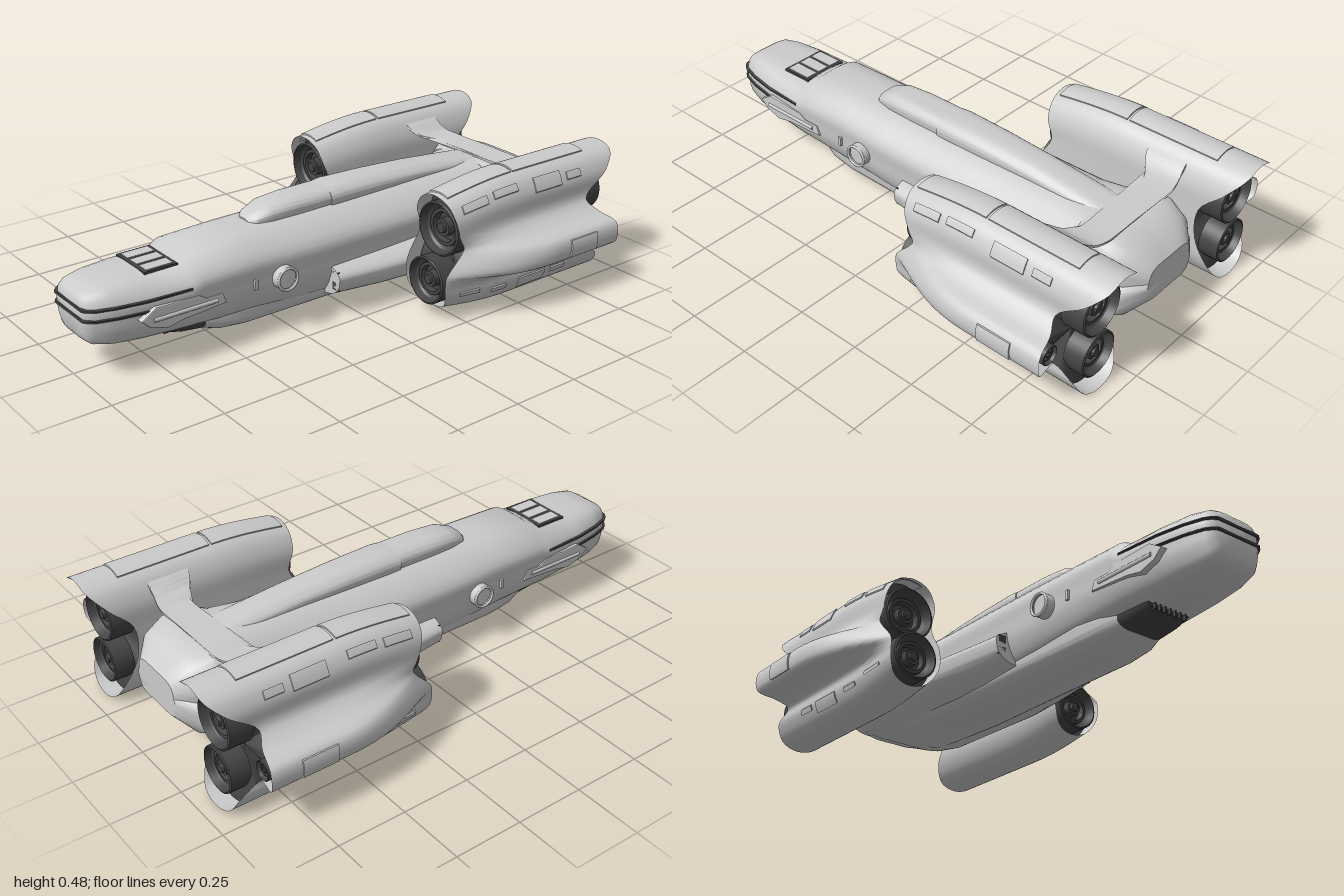
import * as THREE from 'three';
import { toCreasedNormals } from 'three/addons/utils/BufferGeometryUtils.js';

const GREY = new THREE.MeshStandardMaterial({ color: 0xcccccc, side: THREE.DoubleSide });
const DARK = new THREE.MeshStandardMaterial({ color: 0x444444, side: THREE.DoubleSide });

function add(parent, name, geo, mat = GREY, x = 0, y = 0, z = 0) {
  const m = new THREE.Mesh(geo, mat);
  m.name = name;
  m.position.set(x, y, z);
  parent.add(m);
  return m;
}

// Grid surface from rows of points, running front to back and counterclockwise
function skin(rows, closed, caps) {
  const pos = [], idx = [], n = rows[0].length;
  rows.forEach(r => r.forEach(p => pos.push(p.x, p.y, p.z)));
  for (let j = 0; j < rows.length - 1; j++)
    for (let i = 0; i < (closed ? n : n - 1); i++) {
      const a = j * n + i, b = j * n + (i + 1) % n;
      idx.push(a, a + n, b, b, a + n, b + n);
    }
  if (caps) [0, rows.length - 1].forEach((j, back) => {
    const c = new THREE.Vector3();
    rows[j].forEach(p => c.addScaledVector(p, 1 / n));
    const k = pos.length / 3;
    pos.push(c.x, c.y, c.z);
    for (let i = 0; i < n; i++) {
      const a = j * n + i, b = j * n + (i + 1) % n;
      if (back) idx.push(k, b, a); else idx.push(k, a, b);
    }
  });
  const g = new THREE.BufferGeometry();
  g.setAttribute('position', new THREE.Float32BufferAttribute(pos, 3));
  g.setIndex(idx);
  return toCreasedNormals(g, 0.6);
}

// Body from stations [z, half width, top half width, bottom half width, bottom y, top y]
function body(stations) {
  return skin(stations.map(([z, w, wt, wb, yb, yt]) => {
    const h = yt - yb, r = h * 0.05;
    const half = [[wb, yb + r], [w * 0.95, yb + h * 0.27], [w, yb + h * 0.5], [w, yb + h * 0.72], [wt, yt - r]];
    const pts = [[0, yb], ...half, [0, yt], ...half.map(([x, y]) => [-x, y]).reverse()];
    return new THREE.CatmullRomCurve3(pts.map(([x, y]) => new THREE.Vector3(x, y, z)), true)
      .getPoints(48).slice(0, 48);
  }), true, true);
}

// Nacelle outline: x, y, front z, rear z, extra x of the side wing
const OUTLINE = [
  [.48, .175, -.175, -.88, .117], [.48, .25, -.235, -.88, .117], [.48, .278, -.25, -.86, .045], [.48, .315, -.235, -.84, 0],
  [.475, .40, -.212, -.94, 0], [.44, .457, -.203, -.995, 0], [.37, .48, -.2, -1, 0], [.30, .457, -.203, -.995, 0],
  [.26, .39, -.212, -.94, 0], [.255, .30, -.235, -.86, 0], [.255, .18, -.18, -.86, 0], [.26, .09, -.175, -.91, 0],
  [.30, .025, -.195, -.94, 0], [.37, .004, -.205, -.945, 0], [.44, .025, -.195, -.94, 0], [.475, .08, -.175, -.92, 0],
  [.48, .125, -.17, -.85, 0], [.48, .15, -.17, -.86, .045]];
const ease = t => Math.sin(Math.min(1, t) * Math.PI / 2);

function nacelleCurve(v, out = 0) {
  const s = 0.86 + 0.14 * ease(v / 0.4), sx = 0.93 + 0.07 * ease(v / 0.4), f = ease(v / 0.57);
  return new THREE.CatmullRomCurve3(OUTLINE.map(([x, y, zf, zr, wing]) => {
    const px = 0.37 + (x - 0.37) * sx + wing * f, py = 0.235 + (y - 0.235) * s;
    const d = Math.hypot(px - 0.37, py - 0.235);
    return new THREE.Vector3(px + (px - 0.37) / d * out, py + (py - 0.235) / d * out, zf + (zr - zf) * v);
  }), true);
}
const ring = (v, out) => nacelleCurve(v, out).getPoints(90).slice(0, 90);

// Raised plate lying on the nacelle, between two outline indices and two z values
function plate(u0, u1, z0, z1) {
  const N = 8, rows = [], front = nacelleCurve(0), rear = nacelleCurve(1);
  for (let j = -1; j <= N + 1; j++) {
    const row = [], z = z0 + (z1 - z0) * THREE.MathUtils.clamp(j / N, 0, 1);
    for (let i = -1; i <= N + 1; i++) {
      const edge = i < 0 || j < 0 || i > N || j > N;
      const u = (u0 + (u1 - u0) * THREE.MathUtils.clamp(i / N, 0, 1)) / OUTLINE.length;
      const zf = front.getPoint(u).z, v = (z - zf) / (rear.getPoint(u).z - zf);
      row.push(nacelleCurve(Math.max(0, v), edge ? -0.003 : 0.005).getPoint(u));
    }
    rows.push(row);
  }
  return skin(rows, false, false);
}

// Stepped engine mouth with a hub, opening towards +z
function engineMouth(r) {
  const p = [[1, -.9], [1, 0], [.93, .04], [.86, -.25], [.7, -.4], [.68, -.25], [.55, -.25], [.5, -.5],
    [.34, -.5], [.32, -.2], [.2, -.2], [.18, -.1], [.001, -.08]];
  const g = new THREE.LatheGeometry(p.map(([x, y]) => new THREE.Vector2(x * r, y * r)), 40);
  return toCreasedNormals(g.rotateX(Math.PI / 2), 0.5);
}

function createSide() {
  const g = new THREE.Group();
  // Engine nacelle with the side wing
  const rows = [];
  for (let j = 0; j <= 30; j++) rows.push(ring(j / 30, 0));
  add(g, 'nacelleShell', skin(rows, true, false));
  add(g, 'engineCore', skin([ring(0.09, -0.006), ring(0.5, -0.012), ring(0.92, -0.006)], true, true), DARK);
  [[.318, .099, -.222, -.93], [.138, .087, -.172, -.93]].forEach(([y, r, zf, zb]) => {
    add(g, 'intake', engineMouth(r), DARK, .37, y, zf);
    add(g, 'exhaust', engineMouth(r * .93), DARK, .37, y, zb).rotation.y = Math.PI;
  });
  add(g, 'wingExhaust', engineMouth(.034), DARK, .535, .21, -.87).rotation.y = Math.PI;
  // Plates: outline range, z range
  [[5.4, 6.7, -.22, -.51], [5.4, 6.7, -.52, -.87], [3.95, 4.7, -.58, -.71], [4.1, 4.5, -.74, -.81],
    [4.3, 4.7, -.39, -.5], [4.2, 4.65, -.25, -.36], [.1, .9, -.64, -.77], [14.5, 15.2, -.52, -.65],
    [14.8, 15.1, -.39, -.46], [14.8, 15.15, -.68, -.75], [15.1, 15.4, -.24, -.33]]
    .forEach(p => add(g, 'nacellePlate', plate(...p)));

  // Cheek pod with a barrel on the nose
  const cheek = new THREE.Shape([[.83, .205], [.78, .236], [.62, .23], [.59, .212], [.53, .212], [.52, .182],
    [.68, .172], [.74, .16], [.8, .178]].map(p => new THREE.Vector2(...p)));
  const cheekGeo = new THREE.ExtrudeGeometry(cheek, { depth: .04, bevelSize: .004, bevelThickness: .004, bevelSegments: 2 });
  add(g, 'cheekPod', cheekGeo.rotateY(-Math.PI / 2), GREY, .165);
  add(g, 'cheekBarrel', new THREE.CylinderGeometry(.008, .008, .24, 12).rotateX(Math.PI / 2), GREY, .167, .198, .67);

  // Round side port
  add(g, 'portTube', new THREE.CylinderGeometry(.042, .042, .06, 32, 1, true).rotateZ(Math.PI / 2), GREY, .173, .21, .29);
  add(g, 'portRim', new THREE.TorusGeometry(.039, .005, 8, 32).rotateY(Math.PI / 2), GREY, .2, .21, .29);
  add(g, 'portFace', new THREE.CircleGeometry(.038, 32).rotateY(Math.PI / 2), GREY, .19, .21, .29);
  add(g, 'sideVent', new THREE.BoxGeometry(.01, .035, .012), GREY, .17, .21, .4);
  add(g, 'fairingInlet', new THREE.BoxGeometry(.03, .07, .01), DARK, .19, .14, .08);
  // Shoulder blister
  add(g, 'shoulderBlister', new THREE.CapsuleGeometry(.02, .17, 6, 16).rotateX(Math.PI / 2), GREY, .176, .27, -.46);
  return g;
}

export function createModel() {
  const model = new THREE.Group();
  model.name = 'spaceship';

  // Fuselage
  add(model, 'hull', body([
    [.995, .085, .06, .06, .165, .285], [.985, .1, .08, .08, .145, .3], [.965, .115, .09, .09, .128, .312],
    [.9, .135, .1, .1, .112, .323], [.8, .152, .105, .11, .104, .328], [.64, .163, .105, .12, .098, .33],
    [.6, .165, .1, .12, .095, .358], [.4, .165, .095, .12, .085, .368], [.2, .172, .092, .12, .07, .372],
    [-.2, .176, .09, .13, .06, .378], [-.55, .176, .095, .14, .06, .382], [-.7, .178, .13, .15, .07, .385]]));
  add(model, 'tailDeck', body([
    [-.66, .178, .13, .15, .12, .38], [-.7, .185, .165, .15, .12, .386], [-.8, .195, .165, .15, .12, .385],
    [-.87, .175, .135, .14, .14, .362], [-.925, .11, .09, .1, .18, .3]]));
  add(model, 'keel', body([
    [.56, .1, .09, .08, .06, .15], [.5, .12, .1, .09, .042, .15], [.4, .13, .1, .09, .031, .15],
    [-.1, .135, .1, .09, .03, .15], [-.35, .15, .12, .11, .04, .15], [-.7, .16, .13, .12, .06, .17], [-.86, .14, .1, .1, .1, .2]]));
  add(model, 'lowerFairing', body([
    [.085, .215, .17, .16, .075, .195], [-.1, .235, .18, .17, .065, .2], [-.25, .25, .19, .17, .06, .205],
    [-.7, .255, .2, .17, .065, .235], [-.79, .25, .2, .17, .08, .25], [-.87, .205, .16, .15, .11, .26],
    [-.925, .12, .1, .1, .17, .26]]));

  // Slit lines round the nose
  [.226, .262].forEach(y => add(model, 'noseSlit', body([
    [1, .093, .092, .092], [.987, .109, .108, .108], [.967, .123, .122, .122], [.9, .143, .142, .142],
    [.8, .16, .159, .159], [.64, .168, .167, .167]].map(s => [...s, y - .004, y + .004])), DARK));

  // Windscreen with three panes
  add(model, 'windscreenFrame', new THREE.BoxGeometry(.18, .02, .125), DARK, 0, .32, .71);
  [-.058, 0, .058].forEach(x => add(model, 'windscreenPane', new THREE.BoxGeometry(.046, .02, .1), GREY, x, .323, .71));

  // Dorsal canopy and spine
  add(model, 'canopy', body([
    [.33, .03, .02, .03, .33, .375], [.31, .052, .035, .05, .33, .395], [.25, .066, .045, .066, .33, .418],
    [.15, .07, .05, .07, .33, .424], [0, .07, .05, .07, .33, .425]]));
  add(model, 'spine', body([
    [.01, .074, .05, .085, .32, .425], [-.03, .076, .05, .09, .32, .43], [-.2, .074, .045, .1, .32, .428],
    [-.4, .07, .042, .1, .32, .418], [-.6, .068, .045, .1, .32, .398], [-.72, .068, .05, .1, .32, .384]]));

  // Chin intake with slats
  add(model, 'chinIntake', body([
    [.69, .09, .085, .07, .082, .13], [.64, .095, .09, .08, .072, .13], [.55, .1, .09, .08, .06, .13]]), DARK);
  for (let i = -3; i <= 3; i++)
    add(model, 'chinSlat', new THREE.BoxGeometry(.006, .03, .02), DARK, i * .022, .095, .69);

  // Bridge between the nacelles
  const arc = new THREE.CatmullRomCurve3([[-.32, .455], [-.27, .425], [-.225, .396], [-.17, .388], [0, .388],
    [.17, .388], [.225, .396], [.27, .425], [.32, .455]].map(([x, y]) => new THREE.Vector3(x, y, 0))).getPoints(48);
  const band = new THREE.Shape([...arc.map(p => new THREE.Vector2(p.x, p.y - .004)),
    ...arc.map(p => new THREE.Vector2(p.x, p.y + .004)).reverse()]);
  const bridge = new THREE.ExtrudeGeometry(band, { depth: .11, bevelEnabled: false });
  const bp = bridge.attributes.position;
  for (let i = 0; i < bp.count; i++) { // ends sweep forward and widen
    const k = THREE.MathUtils.smoothstep(Math.abs(bp.getX(i)), .16, .28);
    bp.setZ(i, bp.getZ(i) - .8 + k * (bp.getZ(i) > .05 ? .06 : .02));
  }
  add(model, 'bridge', toCreasedNormals(bridge, 0.6));

  // Mirrored sides
  const left = createSide(), right = createSide();
  left.name = 'leftSide';
  right.name = 'rightSide';
  right.scale.x = -1;
  model.add(left, right);
  return model;
}
